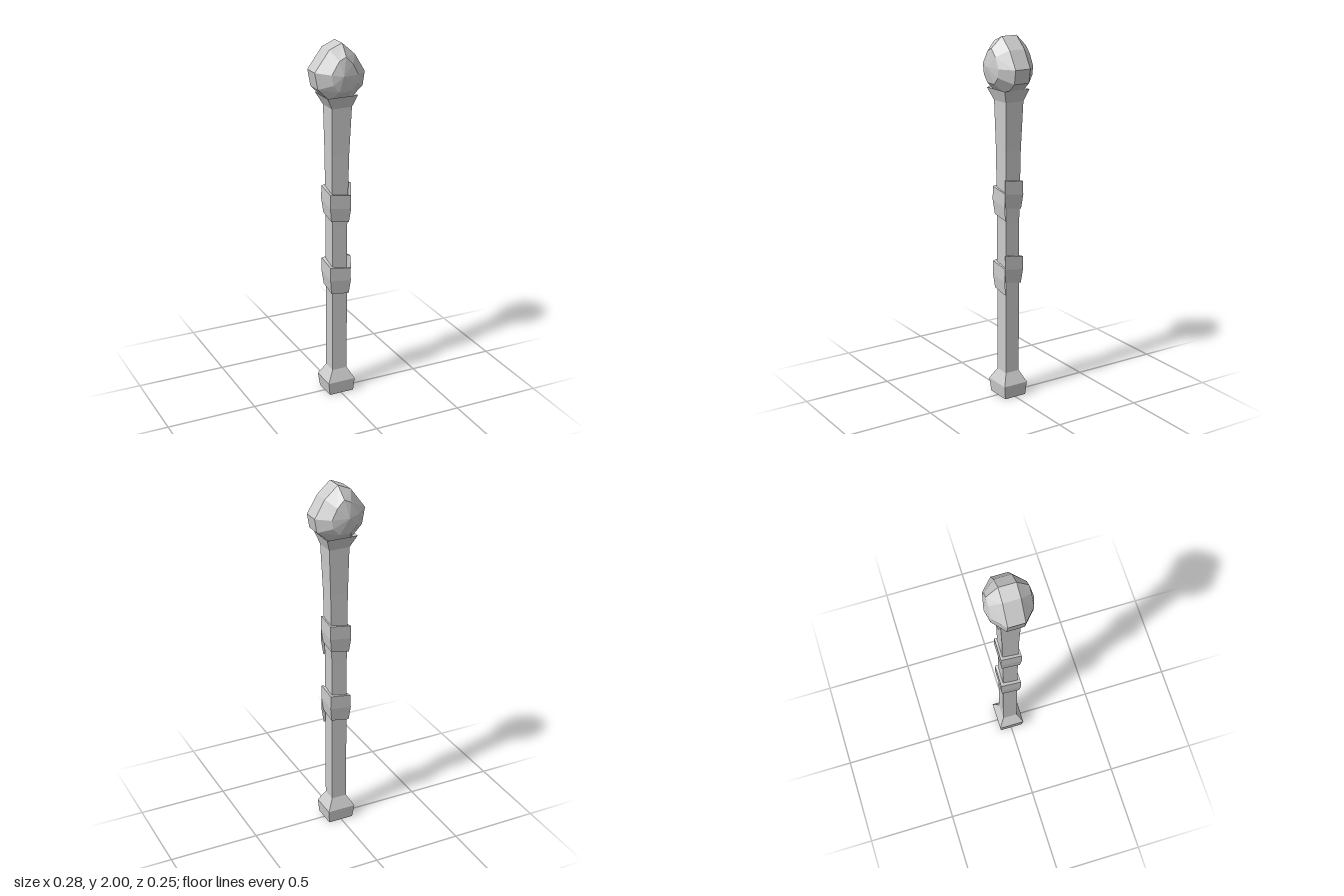
import * as THREE from 'three';

const stone = new THREE.MeshStandardMaterial({ color: 0xcccccc });
stone.name = 'pale grey';
stone.flatShading = true;
stone.side = THREE.DoubleSide;

// Skin a list of equal-length point rings with flat quads.
function loft(name, rings, closed = true) {
  const pos = [];
  for (let r = 0; r < rings.length - 1; r++) {
    const lo = rings[r], hi = rings[r + 1], n = lo.length;
    for (let i = 0; i < (closed ? n : n - 1); i++) {
      const j = (i + 1) % n;
      for (const p of [lo[i], lo[j], hi[j], lo[i], hi[j], hi[i]]) pos.push(...p);
    }
  }
  const geo = new THREE.BufferGeometry();
  geo.setAttribute('position', new THREE.Float32BufferAttribute(pos, 3));
  geo.computeVertexNormals();
  const mesh = new THREE.Mesh(geo, stone);
  mesh.name = name;
  return mesh;
}

// Four corners of a level rectangle, starting front right.
const square = (y, x0, x1, z) => [[x0, y, z], [x1, y, z], [x1, y, -z], [x0, y, -z]];

// Cloth strip wound once around the shaft, sinking a little at each corner.
function wrap(name, top) {
  const corners = [[1, 1], [1, -1], [-1, -1], [-1, 1], [1, 1]];
  const drops = [0, 0.016, 0.034, 0.055, 0.073];
  // [height below the strip's top, half width in x, half depth in z]
  const profile = [
    [0.153, 0.04, 0.036], [0.153, 0.052, 0.05], [0.075, 0.061, 0.058],
    [0, 0.06, 0.057], [0, 0.04, 0.036],
  ];
  return loft(name, profile.map(([down, hx, hz]) =>
    corners.map(([sx, sz], i) => [sx * hx, top - drops[i] - down, sz * hz])), false);
}

export function createModel() {
  const staff = new THREE.Group();
  staff.name = 'staff';

  // Square shaft with a flared foot and a hollow collar at the top
  staff.add(loft('shaft', [
    square(0, 0, 0, 0),
    square(0, -0.07, 0.075, 0.066),
    square(0.075, -0.08, 0.081, 0.073),
    square(0.14, -0.042, 0.045, 0.042),
    square(1.0, -0.043, 0.046, 0.042),
    square(1.4, -0.046, 0.054, 0.046),
    square(1.66, -0.05, 0.065, 0.054),
    square(1.725, -0.085, 0.088, 0.077),
    square(1.68, 0, 0, 0),
  ]));

  // Two cloth wraps
  staff.add(wrap('upperWrap', 1.245), wrap('lowerWrap', 0.825));

  // Faceted knob: one outline, shrunk towards the front and back
  const outline = [
    [0.012, 2], [-0.06, 1.97], [-0.142, 1.86], [-0.125, 1.77], [-0.06, 1.705],
    [0.06, 1.705], [0.13, 1.765], [0.142, 1.84], [0.085, 1.935],
  ];
  const slice = (z, sx, sy, cx = 0) =>
    outline.map(([x, y]) => [cx + x * sx, 1.845 + (y - 1.845) * sy, z]);
  staff.add(loft('knob', [
    slice(-0.126, 0, 0, -0.015),
    slice(-0.107, 0.53, 0.62),
    slice(-0.045, 1, 1),
    slice(0.045, 1, 1),
    slice(0.106, 0.53, 0.62),
    slice(0.124, 0, 0, -0.015),
  ]));

  return staff;
}
